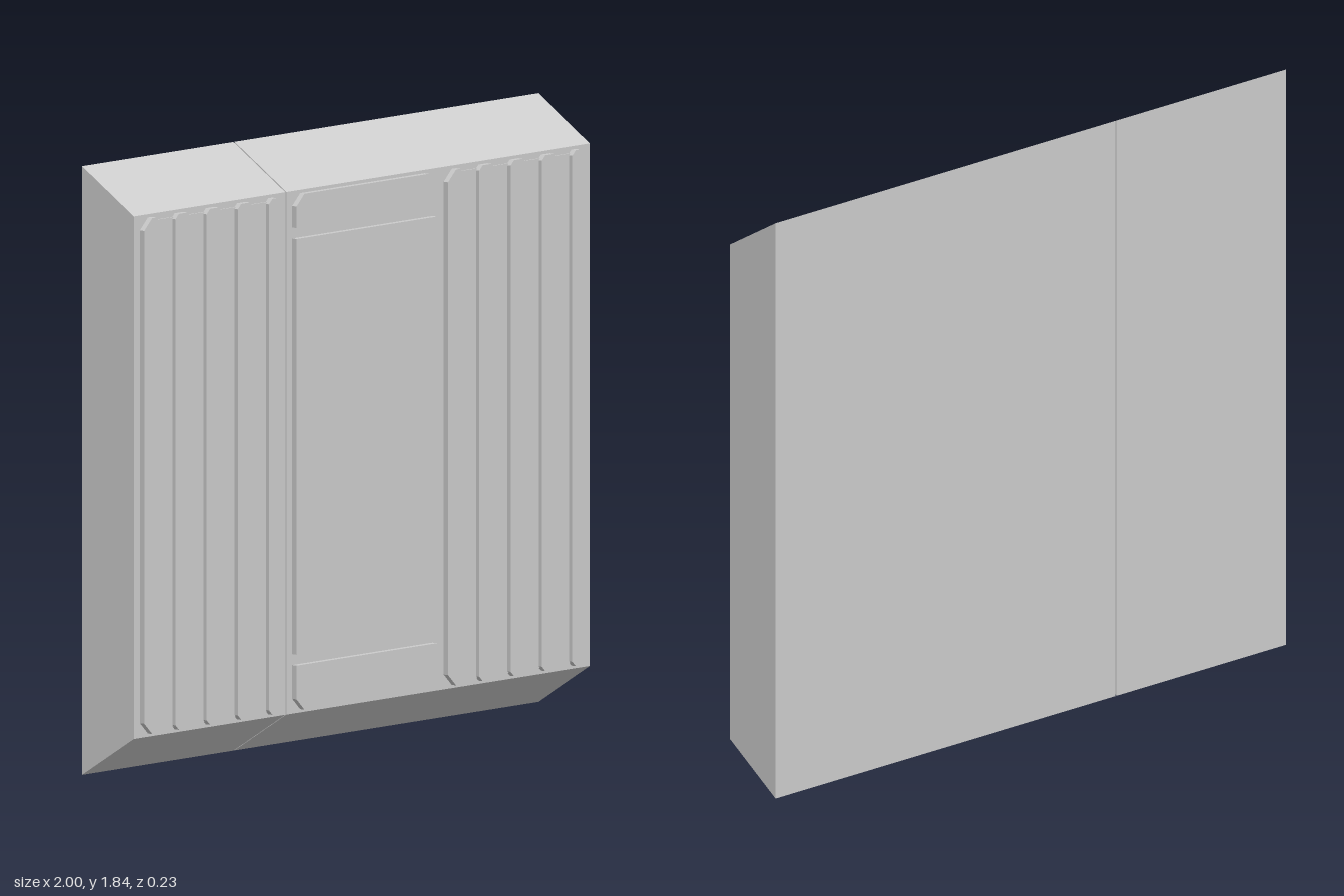
import * as THREE from 'three';

const material = new THREE.MeshStandardMaterial({ color: 0xcccccc, flatShading: true });
const BACK = -0.115, FACE = 0.097, FLOOR = 0.102, FRONT = 0.115;

function extrude(points, depth) {
  const shape = new THREE.Shape(points.map(([x, y]) => new THREE.Vector2(x, y)));
  return new THREE.ExtrudeGeometry(shape, { depth, bevelEnabled: false });
}

function add(parent, name, geometry) {
  const mesh = new THREE.Mesh(geometry, material);
  mesh.name = name;
  parent.add(mesh);
}

// Wall block with sloping top and bottom, spanning x0 to x1
function wallBlock(x0, x1) {
  const side = [[BACK, 0], [FACE, 0.13], [FACE, 1.71], [BACK, 1.84]];
  return extrude(side, x1 - x0).rotateY(-Math.PI / 2).translate(x1, 0, 0);
}

// Raised plate; each corner has its own chamfer: bottom left, bottom right, top right, top left
function plate(x0, x1, y0, y1, [bl, br, tr, tl], front = FRONT) {
  const outline = [
    [x0 + bl, y0], [x1 - br, y0], [x1, y0 + br], [x1, y1 - tr],
    [x1 - tr, y1], [x0 + tl, y1], [x0, y1 - tl], [x0, y0 + bl],
  ].filter((p, i, all) => {
    const q = all[(i + 1) % all.length];
    return Math.hypot(p[0] - q[0], p[1] - q[1]) > 1e-6;
  });
  return extrude(outline, front - FACE).translate(0, 0, FACE);
}

// Five vertical ribs over a shallow backing plate
function ribbedPanel(x0, x1) {
  const group = new THREE.Group();
  const count = 5, step = (x1 - x0) / (2 * count - 1);
  add(group, 'panelBacking', plate(x0 + 0.06, x1 - 0.06, 0.15, 1.69, [0, 0, 0, 0], FLOOR));
  for (let i = 0; i < count; i++) {
    const x = x0 + 2 * i * step;
    const left = i === 0 ? 0.035 : 0.015;
    const right = i === count - 1 ? 0.035 : 0.015;
    add(group, 'rib', plate(x, x + step, 0.14, 1.7, [left, right, right, left]));
  }
  return group;
}

export function createModel() {
  const model = new THREE.Group();
  model.name = 'wallPanel';

  // Three wall sections, with a narrow open joint beside the right one
  add(model, 'rightSection', wallBlock(-1, -0.336));
  add(model, 'middleSection', wallBlock(-0.331, 0.333));
  add(model, 'leftSection', wallBlock(0.333, 1));

  // Ribbed panels on both outer sections
  const right = ribbedPanel(-0.973, -0.358);
  right.name = 'rightRibbedPanel';
  const left = ribbedPanel(0.358, 0.973);
  left.name = 'leftRibbedPanel';
  model.add(right, left);

  // Smooth centre panel in three pieces
  add(model, 'lowerPlate', plate(-0.306, 0.309, 0.14, 0.277, [0.035, 0.035, 0, 0]));
  add(model, 'centrePlate', plate(-0.306, 0.309, 0.31, 1.567, [0, 0, 0, 0]));
  add(model, 'upperPlate', plate(-0.306, 0.309, 1.6, 1.7, [0, 0, 0.035, 0.035]));

  return model;
}
